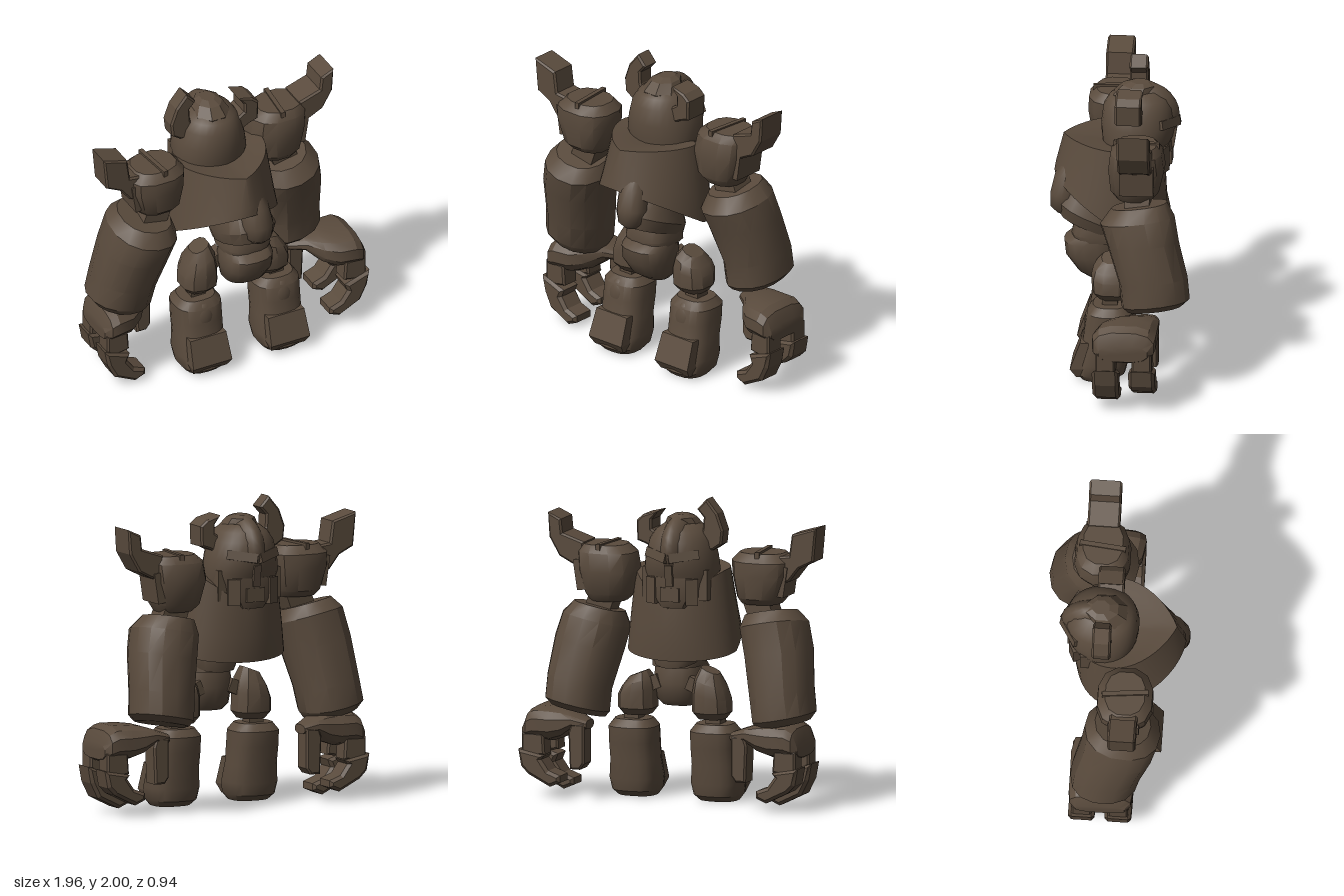
import * as THREE from 'three';
import { toCreasedNormals } from 'three/addons/utils/BufferGeometryUtils.js';

const bronze = new THREE.MeshStandardMaterial({ color: 0x5a4b3d });
bronze.name = 'dark bronze';

// Closed skin over a list of rings of [x, y, z] points, lowest ring first
function skin(rings, crease = 0.6) {
  const n = rings[0].length, pos = [], idx = [];
  rings.forEach(r => r.forEach(p => pos.push(...p)));
  for (let i = 0; i < rings.length - 1; i++) {
    for (let j = 0; j < n; j++) {
      const k = (j + 1) % n, a = i * n + j, b = i * n + k, c = a + n, d = b + n;
      idx.push(a, c, b, b, c, d);
    }
  }
  [0, rings.length - 1].forEach((i, top) => {
    const mid = [0, 1, 2].map(t => rings[i].reduce((s, p) => s + p[t], 0) / n);
    const m = pos.length / 3;
    pos.push(...mid);
    for (let j = 0; j < n; j++) {
      const a = i * n + j, b = i * n + (j + 1) % n;
      idx.push(m, top ? b : a, top ? a : b);
    }
  });
  const g = new THREE.BufferGeometry();
  g.setAttribute('position', new THREE.Float32BufferAttribute(pos, 3));
  g.setIndex(idx);
  return toCreasedNormals(g, crease);
}

// Loft of rounded sections [x, y, z, rx, rz, slopeX, slopeZ]; low power gives squarer sections
const power = (v, p) => Math.sign(v) * Math.abs(v) ** p;
function loft(sections, n = 20, p = 1, crease = 0.6) {
  return skin(sections.map(([x, y, z, rx, rz, sx = 0, sz = 0]) =>
    Array.from({ length: n }, (_, j) => {
      const a = (j + 0.5) / n * Math.PI * 2;
      const dx = rx * power(Math.cos(a), p), dz = rz * power(Math.sin(a), p);
      return [x + dx, y + sx * dx + sz * dz, z + dz];
    })), crease);
}

// Front-facing outline given depth along z
function plate(points, z0, z1, bevel = 0.012) {
  const s = new THREE.Shape(points.map(p => new THREE.Vector2(...p)));
  const g = new THREE.ExtrudeGeometry(s, {
    depth: z1 - z0 - 2 * bevel, bevelEnabled: true, bevelSize: bevel,
    bevelThickness: bevel, bevelOffset: -bevel, bevelSegments: 1,
  });
  return g.translate(0, 0, z0 + bevel);
}

export function createModel() {
  const model = new THREE.Group();
  model.name = 'armouredFigure';
  const add = (name, geometry, parent = model) => {
    const m = new THREE.Mesh(geometry, bronze);
    m.name = name;
    parent.add(m);
    return m;
  };
  const box = (name, size, at, rot = [0, 0, 0]) => {
    const m = add(name, new THREE.BoxGeometry(...size));
    m.position.set(...at);
    m.rotation.set(...rot);
  };
  const ball = (name, at, r) => {
    const m = add(name, new THREE.SphereGeometry(1, 20, 14));
    m.position.set(...at);
    m.scale.set(...r);
  };

  // Chest shell: blunt point at +z, V neckline at -z, tilted open hem
  const N = 40;
  const chestRing = (cx, rx, zp, zn, round, height) => Array.from({ length: N }, (_, j) => {
    const a = j / N * Math.PI * 2, c = Math.cos(a), s = Math.sin(a);
    const z = s > 0 ? zp * (round * s + (1 - round) * (1 - Math.abs(c))) : zn * s;
    return [cx + rx * c, height(z, c, s), z];
  });
  const hem = z => 1.0 + (z > 0 ? 0.6 : 0.2) * z;
  const neck = (z, c, s) => 1.53 - (s < 0 ? 0.24 * (1 - Math.abs(c)) : 0);
  add('chestShell', skin([
    chestRing(-0.07, 0.22, 0.28, 0.16, 0.9, () => 1.28),
    chestRing(-0.07, 0.34, 0.41, 0.23, 0.9, z => hem(z) + 0.02),
    chestRing(-0.07, 0.37, 0.45, 0.26, 0.9, hem),
    chestRing(-0.07, 0.35, 0.44, 0.275, 0.8, z => 1.2 + 0.3 * z),
    chestRing(-0.07, 0.31, 0.39, 0.265, 0.66, neck),
    chestRing(-0.08, 0.25, 0.3, 0.2, 0.66, (z, c, s) => neck(z, c, s) - 0.01),
  ], 0.8));

  // Spine flap, tilted skirt, waist and pelvis
  add('spineFlap', loft([
    [0.02, 1.02, 0.36, 0.06, 0.07], [0.02, 1.06, 0.37, 0.09, 0.1],
    [0.02, 1.15, 0.37, 0.105, 0.1], [0.01, 1.28, 0.35, 0.09, 0.09], [0.01, 1.36, 0.33, 0.05, 0.05],
  ], 16, 1, 0.9));
  add('skirt', loft([
    [0.01, 0.94, 0.18, 0.17, 0.23, 0, 0.35], [0.01, 1.02, 0.18, 0.195, 0.24, 0, 0.4],
    [0, 1.14, 0.15, 0.16, 0.2, 0, 0.4], [0, 1.28, 0.1, 0.12, 0.14],
  ], 16, 0.85));
  add('waist', loft([[0.02, 0.86, 0.15, 0.16, 0.17], [0.02, 0.9, 0.16, 0.165, 0.17], [0.02, 0.98, 0.15, 0.15, 0.16]], 16, 0.7));
  add('pelvis', loft([
    [0.02, 0.6, 0.15, 0.1, 0.08], [0.02, 0.64, 0.16, 0.14, 0.13], [0.02, 0.75, 0.19, 0.165, 0.18],
    [0.02, 0.84, 0.2, 0.165, 0.18], [0.02, 0.9, 0.17, 0.15, 0.14],
  ], 18, 0.8, 0.8));

  // Helmet, face looking toward -z
  add('helmet', loft([
    [-0.1, 1.42, -0.07, 0.23, 0.2], [-0.1, 1.53, -0.085, 0.245, 0.23], [-0.1, 1.62, -0.09, 0.232, 0.24],
    [-0.1, 1.73, -0.09, 0.205, 0.225], [-0.1, 1.79, -0.09, 0.165, 0.19], [-0.1, 1.835, -0.1, 0.1, 0.12],
  ], 28, 0.95, 1));
  add('jaw', loft([[-0.1, 1.3, -0.16, 0.11, 0.13], [-0.1, 1.37, -0.15, 0.17, 0.16], [-0.1, 1.5, -0.14, 0.2, 0.17]], 10, 0.8));
  ball('crest', [-0.1, 1.67, -0.115], [0.11, 0.22, 0.24]);
  add('crestCap', loft([[-0.1, 1.75, -0.04, 0.1, 0.1], [-0.1, 1.81, -0.06, 0.128, 0.14],
    [-0.1, 1.87, -0.09, 0.09, 0.11], [-0.1, 1.89, -0.1, 0.05, 0.06]], 8, 1, 0.3));
  box('nose', [0.05, 0.14, 0.06], [-0.1, 1.52, -0.3], [-0.15, 0, 0]);
  box('mouthGuard', [0.13, 0.09, 0.06], [-0.1, 1.39, -0.28]);
  for (const s of [-1, 1]) {
    box('brow', [0.2, 0.06, 0.06], [-0.1 + s * 0.085, 1.64, -0.285], [0.25, s * -0.5, s * 0.25]);
    box('cheekPlate', [0.08, 0.17, 0.07], [-0.1 + s * 0.13, 1.41, -0.25], [0, s * -0.45, 0]);
    box('earGuard', [0.06, 0.2, 0.2], [-0.1 + s * 0.195, 1.45, -0.12]);
  }
  add('rightHorn', plate([[-0.22, 1.66], [-0.23, 1.74], [-0.26, 1.8], [-0.265, 1.88], [-0.22, 1.93],
    [-0.285, 2.0], [-0.36, 1.91], [-0.4, 1.8], [-0.39, 1.71], [-0.33, 1.67]], -0.14, -0.02));
  add('leftHorn', plate([[0.04, 1.63], [0.14, 1.68], [0.2, 1.7], [0.205, 1.83], [0.16, 1.87], [0.06, 1.895],
    [0.1, 1.84], [0.1, 1.78], [0.04, 1.74]], -0.13, 0.04));

  // Shoulders with a raised band and an upswept horn
  add('rightShoulder', loft([
    [-0.58, 1.31, 0.09, 0.13, 0.12], [-0.585, 1.35, 0.09, 0.16, 0.16], [-0.595, 1.5, 0.09, 0.2, 0.185],
    [-0.595, 1.59, 0.09, 0.205, 0.18], [-0.59, 1.645, 0.09, 0.15, 0.13],
  ], 12, 0.8));
  add('leftShoulder', loft([
    [0.4, 1.3, -0.11, 0.12, 0.12], [0.39, 1.35, -0.11, 0.16, 0.16], [0.39, 1.5, -0.12, 0.2, 0.185],
    [0.405, 1.62, -0.12, 0.195, 0.17], [0.42, 1.67, -0.12, 0.15, 0.13],
  ], 12, 0.8));
  box('rightShoulderBand', [0.03, 0.3, 0.3], [-0.59, 1.51, 0.09], [0, 0.1, 0]);
  box('leftShoulderBand', [0.03, 0.3, 0.3], [0.4, 1.53, -0.12], [0, -0.1, 0]);
  add('rightShoulderHorn', plate([[-0.99, 1.83], [-0.97, 1.61], [-0.87, 1.56], [-0.8, 1.47], [-0.72, 1.45],
    [-0.72, 1.63], [-0.8, 1.64], [-0.82, 1.78]], 0, 0.18));
  add('leftShoulderHorn', plate([[0.53, 1.5], [0.62, 1.54], [0.7, 1.58], [0.77, 1.7], [0.78, 1.86],
    [0.69, 1.82], [0.68, 1.73], [0.53, 1.68]], -0.23, -0.02));
  box('rightShoulderHornMount', [0.08, 0.2, 0.2], [-0.74, 1.47, 0.09], [0, 0, 0.15]);
  box('leftShoulderHornMount', [0.07, 0.2, 0.22], [0.55, 1.47, -0.13], [0, 0, -0.15]);

  // Elbow links and heavy forearms
  box('rightElbow', [0.17, 0.24, 0.16], [-0.6, 1.25, 0.08], [0, 0, -0.35]);
  box('leftElbow', [0.17, 0.24, 0.16], [0.44, 1.26, -0.13], [0, 0, 0.35]);
  add('rightForearm', loft([
    [-0.78, 0.55, -0.03, 0.17, 0.18, -0.2], [-0.785, 0.6, -0.03, 0.205, 0.22, -0.2], [-0.76, 0.75, -0.01, 0.205, 0.23, -0.2],
    [-0.715, 1.0, 0.05, 0.22, 0.24, -0.2, -0.1], [-0.67, 1.17, 0.08, 0.22, 0.245, -0.2, -0.2], [-0.65, 1.25, 0.08, 0.17, 0.18, -0.2, -0.2],
  ], 14, 0.9, 0.5));
  add('leftForearm', loft([
    [0.555, 0.59, -0.25, 0.17, 0.18, 0.2, -0.15], [0.56, 0.63, -0.255, 0.205, 0.22, 0.2, -0.15],
    [0.55, 0.78, -0.24, 0.205, 0.22, 0.2, -0.15], [0.51, 1.02, -0.17, 0.22, 0.23, 0.2, -0.1],
    [0.475, 1.17, -0.13, 0.215, 0.24, 0.2, -0.15], [0.45, 1.26, -0.14, 0.16, 0.18, 0.2, -0.15],
  ], 14, 0.9, 0.5));

  // Hands: a domed back of the hand turned inward, a thumb and two hooked fingers
  const hand = (s, dx, dy, z) => {
    const g = new THREE.Group();
    g.name = s > 0 ? 'leftHand' : 'rightHand';
    const flip = pts => {
      const q = pts.map(([x, y]) => [s * (x + dx), y + dy]);
      return s > 0 ? q : q.reverse();
    };
    const dome = [[0.5, 0.46, 0.52, 0.07, -0.12], [0.6, 0.46, 0.555, 0.12, -0.09], [0.68, 0.39, 0.58, 0.17, -0.04],
      [0.76, 0.36, 0.588, 0.2, -0.01], [0.87, 0.36, 0.59, 0.21, 0], [0.92, 0.35, 0.56, 0.2, 0],
      [0.955, 0.37, 0.48, 0.16, 0]].map(([x, y0, y1, w, dz]) =>
      Array.from({ length: 12 }, (_, j) => {
        const a = (j + 0.5) / 6 * Math.PI;
        return [s * (x + dx), (y0 + y1) / 2 + dy + (y1 - y0) / 2 * power(Math.sin(a), 0.8), z + dz + w * power(Math.cos(a), 0.7)];
      }));
    add('handBack', skin(s > 0 ? dome : dome.reverse(), 0.5), g);
    add('thumb', plate(flip([[0.51, 0.5], [0.51, 0.24], [0.54, 0.2], [0.61, 0.2], [0.62, 0.44], [0.6, 0.5]]), z - 0.2, z - 0.06), g);
    for (const [f, lift] of [[-0.12, 0.05], [0.115, 0]]) {
      add('knuckle', plate(flip([[0.8, 0.42], [0.79, 0.28], [0.9, 0.26], [0.95, 0.3], [0.95, 0.42]]), z + f - 0.065, z + f + 0.065), g);
      add('finger', plate(flip([[0.97, 0.31], [0.79, 0.25 + lift / 2], [0.81, 0.2 + lift], [0.76, 0.13 + lift], [0.68, 0.1 + lift],
        [0.68, 0.055 + lift], [0.75, 0.025 + lift], [0.9, 0.1 + lift], [0.95, 0.2]]), z + f - 0.085, z + f + 0.085, 0.02), g);
    }
    model.add(g);
  };
  hand(1, 0, 0, -0.075);
  hand(-1, -0.01, -0.015, -0.05);

  // Legs
  for (const s of [-1, 1]) {
    const x = s < 0 ? -0.27 : 0.295, side = s < 0 ? 'right' : 'left', t = s < 0 ? -0.25 : 0.265;
    const tall = s < 0 ? 0.05 : 0;
    add(side + 'Thigh', loft([
      [t, 0.54, 0.05, 0.09, 0.09], [t, 0.585, 0.05, 0.125, 0.13], [t, 0.69, 0.05, 0.122, 0.135, s * -0.2],
      [t - s * 0.005, 0.75 + tall / 2, 0.05, 0.1, 0.12, s * -0.3], [t - s * 0.01, 0.805 + tall, 0.05, 0.06, 0.07, s * -0.4],
    ], 10, 0.8, 0.5));
    box(side + 'HipLink', [0.18, 0.09, 0.1], [x - s * 0.1, 0.73, 0.07], [0, 0, -s * 0.4]);
    box(side + 'KneeJoint', [0.1, 0.12, 0.1], [x, 0.52, 0.06]);
    add(side + 'Boot', loft([
      [x, 0, 0.135, 0.125, 0.115], [x, 0.04, 0.125, 0.155, 0.165], [x, 0.12, 0.11, 0.168, 0.17],
      [x, 0.24, 0.09, 0.158, 0.15], [x, 0.36, 0.07, 0.158, 0.155], [x, 0.46, 0.06, 0.158, 0.15], [x, 0.51, 0.06, 0.12, 0.11],
    ], 18, 0.75, 0.6));
    ball(side + 'KneeGuard', [x, 0.38, 0.16], [0.09, 0.12, 0.065]);
    const toe = (w, y, z0, z1) => [[x + w, y, z0], [x + w, y, z1], [x - w, y, z1], [x - w, y, z0]];
    add(side + 'ToeCap', skin([toe(0.12, 0.03, 0.1, 0.27), toe(0.14, 0.09, 0.1, 0.31), toe(0.13, 0.27, 0.08, 0.245)], 0.1));
  }
  return model;
}
